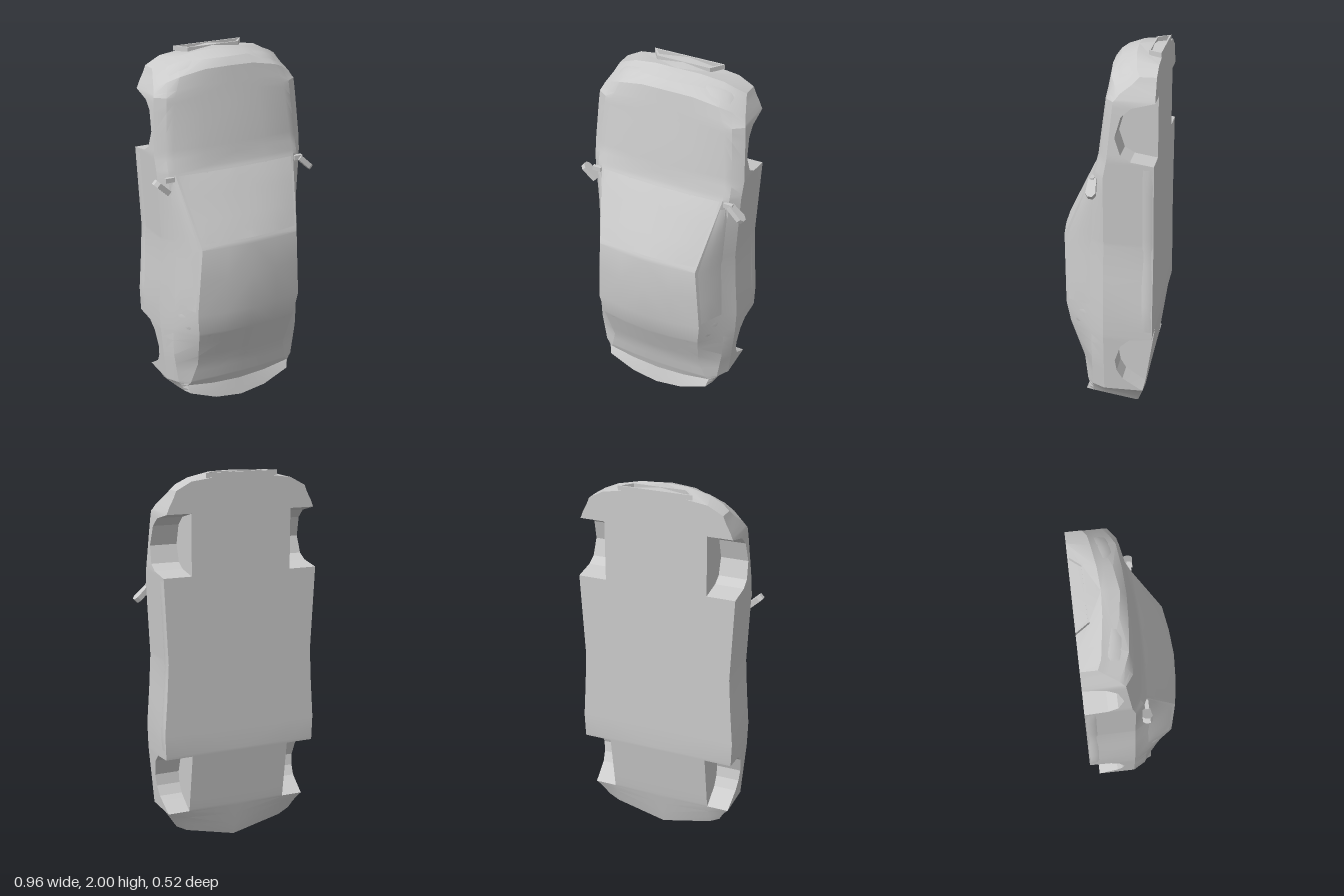
import * as THREE from 'three';
import { toCreasedNormals } from 'three/addons/utils/BufferGeometryUtils.js';

const grey = new THREE.MeshStandardMaterial({ color: 0xcccccc, side: THREE.DoubleSide });

// Piecewise linear curve through [y, value] keys
function curve(keys) {
  return (y) => {
    if (y <= keys[0][0]) return keys[0][1];
    for (let i = 1; i < keys.length; i++) {
      const [a, va] = keys[i - 1], [b, vb] = keys[i];
      if (y <= b) return va + ((vb - va) * (y - a)) / (b - a);
    }
    return keys[keys.length - 1][1];
  };
}
const clamp01 = (v) => Math.min(1, Math.max(0, v));

// Rails of the car body along its length (tail at y = 0, nose at y = 2)
const floorZ = curve([[0, -0.17], [0.2, -0.21], [0.53, -0.26], [2, -0.26]]);
const archZ = curve([[0.18, -1], [0.19, -0.21], [0.2, -0.19], [0.26, -0.1], [0.31, -0.07], [0.37, -0.06], [0.46, -0.09],
  [0.505, -0.14], [0.515, -0.26], [1.48, -0.26], [1.5, -0.14], [1.53, -0.09], [1.62, -0.06], [1.725, -0.09],
  [1.77, -0.14], [1.8, -0.26]]);
const sideX = curve([[0, 0.34], [0.19, 0.4], [0.51, 0.43], [0.65, 0.435], [1, 0.41], [1.3, 0.425], [1.5, 0.435],
  [1.75, 0.42], [1.85, 0.41], [1.93, 0.4], [2, 0.36]]);
const sideZ = curve([[0, 0], [1.4, 0], [1.5, -0.02], [1.8, -0.05], [1.93, -0.08], [2, -0.18]]);
const beltX = curve([[0, 0.33], [0.19, 0.36], [0.4, 0.39], [0.65, 0.385], [1, 0.375], [1.4, 0.385], [1.5, 0.385],
  [1.8, 0.36], [1.93, 0.34], [2, 0.32]]);
const beltZ = curve([[0, 0.07], [0.6, 0.07], [1.4, 0.05], [1.5, 0.02], [1.8, -0.01], [1.93, -0.045], [2, -0.16]]);
const roofX = curve([[0, 0.31], [0.13, 0.32], [0.31, 0.27], [0.5, 0.29], [0.65, 0.31], [1.03, 0.285], [1.41, 0.355],
  [1.5, 0.35], [1.8, 0.32], [1.93, 0.28], [2, 0.25]]);
const roofZ = curve([[0, 0.115], [0.13, 0.095], [0.31, 0.13], [0.53, 0.2], [0.65, 0.22], [1.03, 0.23], [1.41, 0.06],
  [1.5, 0.035], [1.8, 0], [1.93, -0.02], [2, -0.15]]);
const crownZ = curve([[0, 0.13], [0.13, 0.11], [0.31, 0.15], [0.53, 0.235], [0.65, 0.26], [1.04, 0.26], [1.42, 0.073],
  [1.6, 0.05], [1.82, 0.015], [1.93, 0], [1.97, -0.03], [1.985, -0.08], [2, -0.13]]);

// Bow the tail and the nose in plan
function bend(x, y, z) {
  const tail = clamp01(1 - y / 0.19), nose = clamp01((y - 1.8) / 0.15);
  return new THREE.Vector3(x, y + tail * (0.85 * x * x + (z + 0.17) * 0.16) - nose * 1.7 * Math.abs(x) ** 3, z);
}

// Half cross-section from floor centre, round the wheel well and flank, to roof centre
function section(y) {
  const f = floorZ(y), a = Math.max(f, archZ(y)), w = 0.28, r = roofX(y), rz = roofZ(y), c = crownZ(y);
  return [[0, f], [w, f], [w, a], [sideX(y), a], [sideX(y), sideZ(y)], [beltX(y), beltZ(y)],
    [r, rz], [r * 0.5, rz + (c - rz) * 0.7], [0, c]].map(([x, z]) => bend(x, y, z));
}

// Collects quads together with their mirror images
function mirroredGeometry(fill) {
  const pos = [];
  const quad = (a, b, c, d) => {
    for (const p of [a, b, c, a, c, d]) pos.push(p.x, p.y, p.z);
    for (const p of [a, c, b, a, d, c]) pos.push(-p.x, p.y, p.z);
  };
  fill(quad);
  const g = new THREE.BufferGeometry();
  g.setAttribute('position', new THREE.Float32BufferAttribute(pos, 3));
  return toCreasedNormals(g, 0.35);
}

function add(group, name, geometry) {
  const mesh = new THREE.Mesh(geometry, grey);
  mesh.name = name;
  group.add(mesh);
  return mesh;
}

// Point on the body skin: t counts along the cross-section
function skin(t, y) {
  const s = section(y), i = Math.min(7, Math.floor(t));
  return s[i].clone().lerp(s[i + 1], t - i);
}

// Thin raised panel over a surface function, mirrored left and right
function panel(surface, u0, u1, v0, v1, lift, nu = 4, nv = 6) {
  const at = (i, j) => {
    const u = u0 + ((u1 - u0) * i) / nu, v = v0 + ((v1 - v0) * j) / nv;
    const edge = i === 0 || j === 0 || i === nu || j === nv;
    const p = surface(u, v), e = 0.002;
    const n = surface(u, v + e).sub(surface(u, v - e)).cross(surface(Math.min(u + e, 8), v).sub(surface(u - e, v)));
    return p.addScaledVector(n.normalize(), edge ? 0 : lift);
  };
  return mirroredGeometry((quad) => {
    for (let i = 0; i < nu; i++)
      for (let j = 0; j < nv; j++) quad(at(i, j), at(i, j + 1), at(i + 1, j + 1), at(i + 1, j));
  });
}

export function createModel() {
  const car = new THREE.Group();
  car.name = 'carBody';

  // Body shell with floor and wheel wells
  const stations = [0, 0.06, 0.13, 0.18, 0.19, 0.2, 0.26, 0.31, 0.37, 0.46, 0.505, 0.515, 0.53, 0.65, 0.85, 1.03, 1.05, 1.2,
    1.3, 1.41, 1.43, 1.48, 1.5, 1.53, 1.62, 1.725, 1.77, 1.8, 1.85, 1.93, 1.97, 1.985, 1.997];
  const rows = stations.map(section);
  add(car, 'bodyShell', mirroredGeometry((quad) => {
    for (let i = 0; i + 1 < rows.length; i++)
      for (let j = 0; j < 8; j++) quad(rows[i][j], rows[i + 1][j], rows[i + 1][j + 1], rows[i][j + 1]);
    const capQuads = [[0, 1, 7, 8], [1, 2, 6, 7], [2, 3, 5, 6], [3, 4, 5, 5]];
    const tail = rows[0], nose = rows[rows.length - 1];
    for (const [a, b, c, d] of capQuads) {
      quad(tail[a], tail[b], tail[c], tail[d]);
      quad(nose[d], nose[c], nose[b], nose[a]);
    }
  }));

  // Glass, lamps and sills follow the skin
  add(car, 'windscreen', panel(skin, 6.08, 8, 1.06, 1.4, 0.003, 6, 6));
  add(car, 'rearWindow', panel(skin, 6.3, 8, 0.31, 0.53, -0.004, 6, 6));
  add(car, 'sideWindows', panel(skin, 5.08, 5.9, 0.67, 1.36, 0.003, 4, 10));
  add(car, 'quarterWindows', panel(skin, 5.15, 5.8, 0.54, 0.64, 0.003));
  add(car, 'headlights', panel(skin, 5.1, 6.6, 1.945, 1.98, 0.004, 6, 4));
  add(car, 'sills', panel(skin, 3.02, 3.22, 0.56, 1.46, 0.004, 4, 12));

  // Tail lamps and plate panel on the bowed rear face
  const rear = (x, z) => bend(x, 0, z);
  add(car, 'tailLights', panel(rear, 0.12, 0.29, 0.02, 0.07, 0.006));
  add(car, 'platePanel', panel(rear, 0, 0.1, -0.03, 0.05, 0.004));
  add(car, 'rearVents', panel(rear, 0.1, 0.24, -0.13, -0.1, 0.004));

  // Grille surround: trapezoid frame on the nose
  const trapezoid = (Type, w0, w1, z0, z1) => new Type([[-w0, z0], [w0, z0], [w1, z1], [-w1, z1]]
    .map(([x, z]) => new THREE.Vector2(x, -z)));
  const surround = trapezoid(THREE.Shape, 0.2, 0.15, -0.26, -0.19);
  surround.holes.push(trapezoid(THREE.Path, 0.185, 0.14, -0.252, -0.198));
  const grille = new THREE.ExtrudeGeometry(surround, { depth: 0.025, bevelEnabled: false });
  add(car, 'grilleSurround', grille.rotateX(-Math.PI / 2).scale(1, 1, 1).translate(0, 1.975, 0));

  // Door mirrors on short stalks
  const housing = new THREE.Shape([[-0.05, -0.02], [0.035, -0.026], [0.055, -0.012], [0.055, 0.012], [0.035, 0.026],
    [-0.05, 0.02]].map(([x, z]) => new THREE.Vector2(x, z)));
  for (const side of [1, -1]) {
    const mirror = new THREE.Group();
    mirror.name = side > 0 ? 'leftMirror' : 'rightMirror';
    const shell = add(mirror, 'mirrorHousing',
      new THREE.ExtrudeGeometry(housing, { depth: 0.028, bevelEnabled: false }).rotateX(-Math.PI / 2).translate(0, -0.014, 0));
    shell.position.set(side * 0.43, 1.35, 0.056);
    shell.rotation.set(0, side > 0 ? 0 : Math.PI, side > 0 ? -0.75 : 0.75);
    const stalk = add(mirror, 'mirrorStalk', new THREE.BoxGeometry(0.05, 0.025, 0.02));
    stalk.position.set(side * 0.385, 1.385, 0.058);
    car.add(mirror);
  }
  return car;
}
